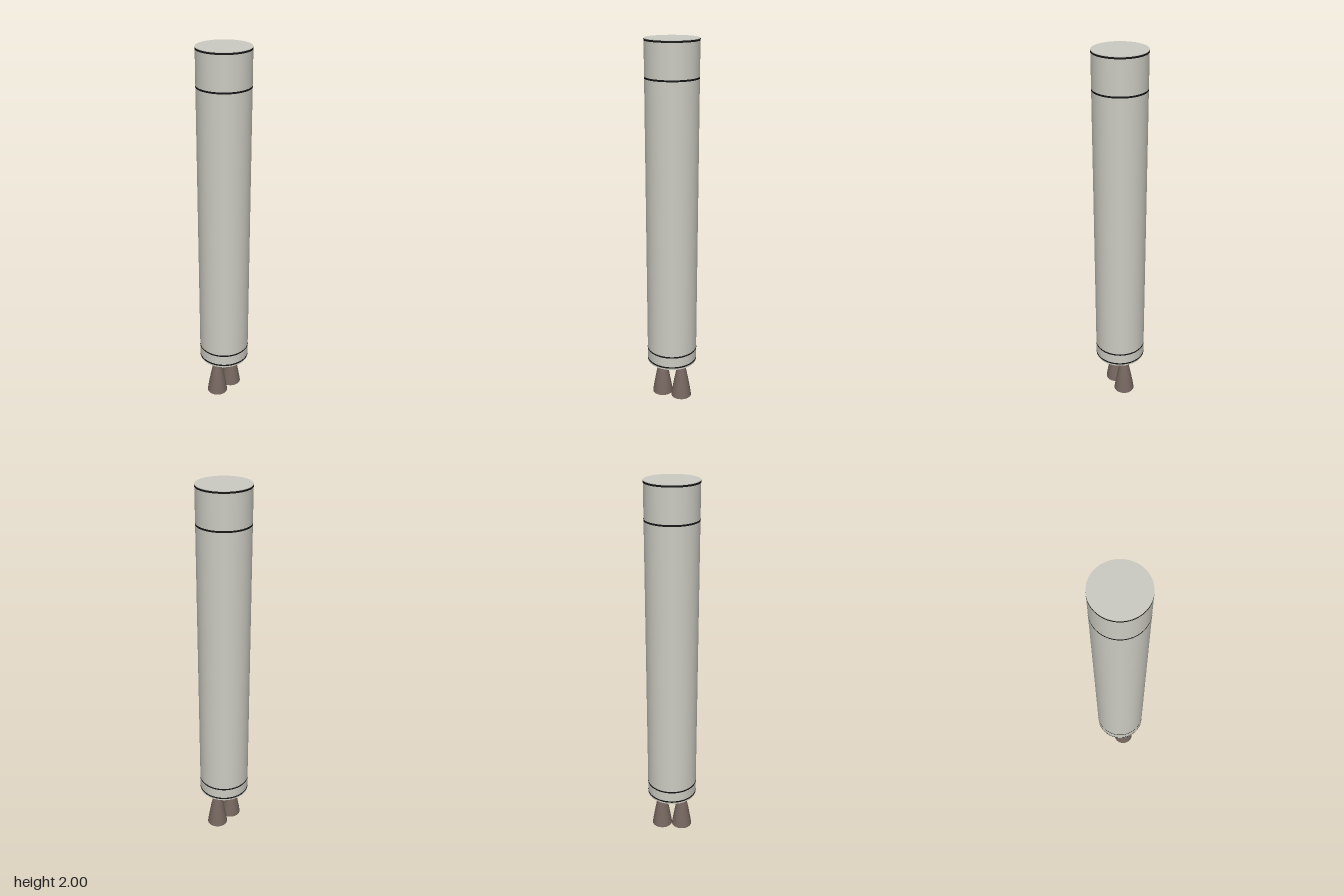
import * as THREE from 'three';

const material = (name, color, extra = {}) =>
  Object.assign(new THREE.MeshStandardMaterial({ color, ...extra }), { name });

export function createModel() {
  const group = new THREE.Group();
  const hullPaint = material('hull grey', 0xcbcbc2);
  const bandPaint = material('band black', 0x141414);
  const nozzleMetal = material('nozzle brown', 0x76665f, { side: THREE.DoubleSide });

  const add = (name, geometry, mat, x, y) => {
    const mesh = new THREE.Mesh(geometry, mat);
    mesh.name = name;
    mesh.position.set(x, y, 0);
    group.add(mesh);
  };

  // Stage body
  const radius = 0.137, bottom = 0.232, top = 2;
  add('body', new THREE.CylinderGeometry(radius, radius, top - bottom, 64), hullPaint, 0, (top + bottom) / 2);

  // Thin dark seams around the body
  for (const y of [0.246, 0.31, 1.813, 1.993]) {
    add('seamBand', new THREE.CylinderGeometry(radius + 0.001, radius + 0.001, 0.009, 64, 1, true), bandPaint, 0, y);
  }

  // Pair of open engine bells
  const profile = [
    [0.057, 0], [0.052, 0.035], [0.046, 0.07], [0.039, 0.11],
    [0.031, 0.15], [0.022, 0.19], [0.014, 0.225], [0.013, 0.24],
  ].map(([r, y]) => new THREE.Vector2(r, y));
  for (const side of [-1, 1]) {
    add('engineNozzle', new THREE.LatheGeometry(profile, 40), nozzleMetal, side * 0.057, 0);
  }
  return group;
}
